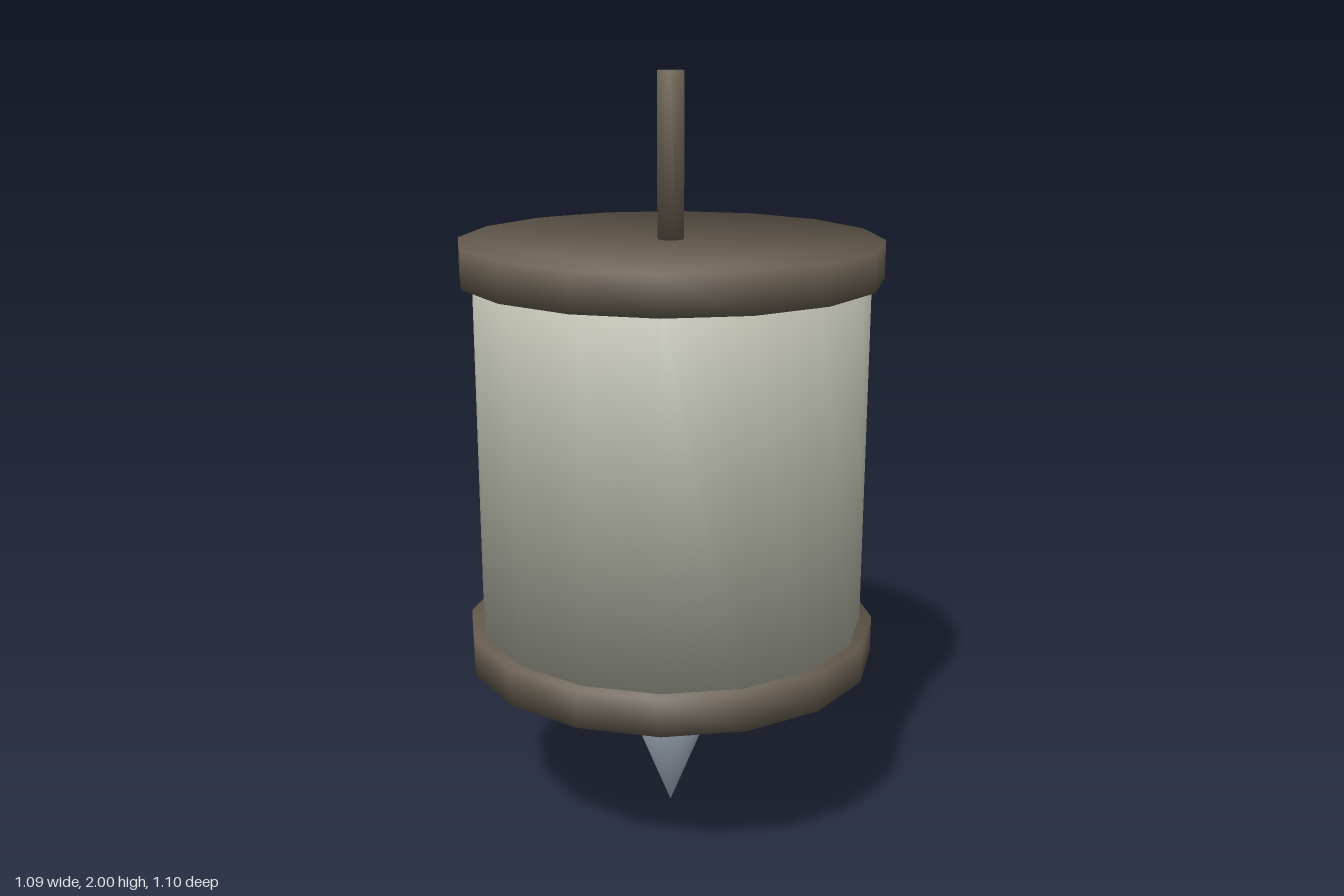
import * as THREE from 'three';
import { mergeVertices } from 'three/addons/utils/BufferGeometryUtils.js';

const SIDES = 16;
const AXIS_Z = 0.007; // the body sits slightly off centre so the eyes stay in bounds

const material = (name, color) => {
  const m = new THREE.MeshStandardMaterial({ color });
  m.name = name;
  return m;
};

// Solid 16-sided drum whose shading rolls smoothly over its edges
function drum(radius, y0, y1) {
  const outline = [];
  for (let i = 0; i < SIDES; i++) {
    const a = (i / SIDES) * Math.PI * 2;
    outline.push(new THREE.Vector2(Math.cos(a) * radius, Math.sin(a) * radius));
  }
  const geo = new THREE.ExtrudeGeometry(new THREE.Shape(outline), { depth: y1 - y0, bevelEnabled: false });
  geo.rotateX(-Math.PI / 2).translate(0, y0, 0);
  const p = geo.attributes.position;
  const n = new THREE.Vector3();
  for (let i = 0; i < p.count; i++) {
    const up = p.getY(i) > (y0 + y1) / 2 ? 1 : -1;
    n.set(p.getX(i) / radius, up, p.getZ(i) / radius).normalize();
    geo.attributes.normal.setXYZ(i, n.x, n.y, n.z);
  }
  return geo;
}

// Weld shared corners so a geometry shades as one smooth surface
function weld(geo) {
  geo.deleteAttribute('uv');
  geo.deleteAttribute('normal');
  const welded = mergeVertices(geo);
  welded.computeVertexNormals();
  return welded;
}

export function createModel() {
  const model = new THREE.Group();
  model.name = 'spinningTop';

  const shell = material('stoneGrey', 0xbcbdae);
  const trim = material('darkBrown', 0x685e50);
  const steel = material('paleSteel', 0xb8c5d4);
  const yellow = material('eyeYellow', 0xe0cb70);

  const add = (name, geo, mat, x = 0, y = 0, z = AXIS_Z) => {
    const mesh = new THREE.Mesh(geo, mat);
    mesh.name = name;
    mesh.position.set(x, y, z);
    model.add(mesh);
  };

  // Barrel with a rim at each end
  add('body', drum(0.512, 0.52, 1.53), shell);
  add('lowerRim', drum(0.544, 0.465, 0.563), trim);
  add('upperRim', drum(0.544, 1.487, 1.585), trim);

  // Handle above and pointed tip below
  add('handle', drum(0.034, 1.56, 2), trim);
  const tip = new THREE.ConeGeometry(0.19, 0.475, SIDES);
  tip.rotateX(Math.PI);
  add('tip', weld(tip), steel, 0, 0.2375);

  // Face on the rear side
  for (const side of [-1, 1]) {
    add(side > 0 ? 'leftEye' : 'rightEye', new THREE.SphereGeometry(0.084, 24, 16), yellow, side * 0.17, 1.195, -0.466);
  }
  add('mouth', weld(new THREE.BoxGeometry(0.42, 0.165, 0.06)), trim, 0, 0.872, -0.495);

  return model;
}
